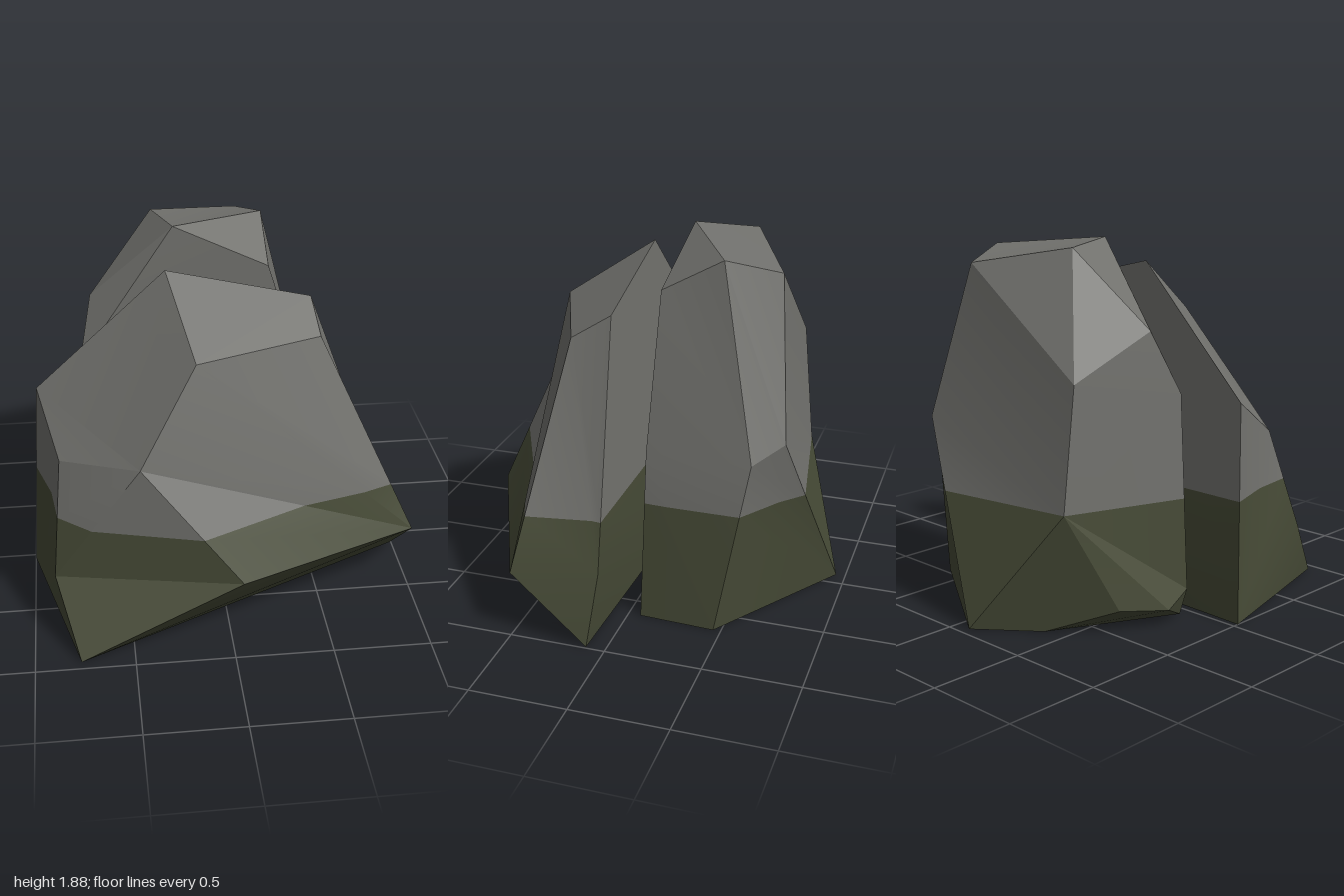
import * as THREE from 'three';
import { toCreasedNormals } from 'three/addons/utils/BufferGeometryUtils.js';

const MOSS_LINE = 0.62;
const CREASE = 0.35;

// Fan each facet (a string of corner letters) into triangles facing away from the middle
function facetTriangles(corners, facets) {
  const points = {};
  const middle = new THREE.Vector3();
  for (const key of Object.keys(corners)) {
    points[key] = new THREE.Vector3(...corners[key]);
    middle.add(points[key]);
  }
  middle.divideScalar(Object.keys(corners).length);
  const triangles = [];
  for (const facet of facets.split(' ')) {
    const [first, ...rest] = [...facet].map((key) => points[key]);
    for (let k = 0; k + 1 < rest.length; k++) {
      const tri = new THREE.Triangle(first, rest[k], rest[k + 1]);
      const outward = tri.getNormal(new THREE.Vector3()).dot(first.clone().sub(middle)) > 0;
      triangles.push(outward ? [tri.a, tri.b, tri.c] : [tri.a, tri.c, tri.b]);
    }
  }
  return triangles;
}

// Keep what lies above (sign 1) or below (sign -1) the moss line
function clipAtMossLine(triangles, sign) {
  const out = [];
  for (const tri of triangles) {
    const kept = [];
    tri.forEach((a, k) => {
      const b = tri[(k + 1) % 3];
      const da = (a.y - MOSS_LINE) * sign;
      const db = (b.y - MOSS_LINE) * sign;
      if (da >= 0) kept.push(a);
      if (da * db < 0) kept.push(a.clone().lerp(b, da / (da - db)));
    });
    for (let k = 1; k + 1 < kept.length; k++) {
      for (const p of [kept[0], kept[k], kept[k + 1]]) out.push(p.x, p.y, p.z);
    }
  }
  const geometry = new THREE.BufferGeometry();
  geometry.setAttribute('position', new THREE.Float32BufferAttribute(out, 3));
  return toCreasedNormals(geometry, CREASE);
}

// A faceted boulder: bare stone above the moss line, mossy stone below
function makeRock(name, corners, facets, stone, moss) {
  const triangles = facetTriangles(corners, facets);
  const rock = new THREE.Group();
  rock.name = name;
  const upper = new THREE.Mesh(clipAtMossLine(triangles, 1), stone);
  upper.name = name + 'Stone';
  const lower = new THREE.Mesh(clipAtMossLine(triangles, -1), moss);
  lower.name = name + 'MossyBase';
  rock.add(upper, lower);
  return rock;
}

export function createModel() {
  const stone = new THREE.MeshStandardMaterial({ color: 0x71716d });
  stone.name = 'grey stone';
  const moss = new THREE.MeshStandardMaterial({ color: 0x464a36 });
  moss.name = 'mossy green';

  const model = new THREE.Group();
  model.name = 'splitRock';

  // Front half: three-cornered foot, overhanging front, dented face, sloping crown
  model.add(makeRock('frontRock', {
    a: [-1, 0, 0.03], b: [-0.77, 0, 0.95], c: [0.99, 0, 0.1],
    d: [-0.88, 0.34, 0.68], e: [0.05, 0.39, 0.92], f: [1, 0.36, 0.49], g: [0.92, 0.38, 0.055],
    h: [-0.83, 0.89, 0.47], i: [-0.44, 0.98, 0.76], j: [-0.93, 1.11, 0.1],
    k: [-0.15, 1.45, 0.59], l: [0.5, 1.44, 0.33], m: [0.48, 1.57, 0.125], n: [-0.26, 1.75, 0.14],
  }, 'abc fcbe cfg acgmnj adb ajhd idhjnk dei dbe feikl lmgf klmn', stone, moss));

  // Back half: taller, with a flat split face towards the front
  model.add(makeRock('backRock', {
    K: [-0.09, 0, -0.95], J: [0.65, 0, -0.46], T: [0.63, 0, -0.065], U: [-0.7, 0, -0.065],
    Q: [-0.38, 0, -0.71], N: [-0.78, 0.09, -0.24], P: [-0.67, 0.12, -0.48], R: [-0.75, 0.15, -0.07],
    L: [-0.51, 0.62, -0.7], S: [0.54, 0.89, -0.07], I: [0.54, 0.89, -0.61], H: [0.41, 0.97, -0.75],
    M: [-0.7, 1.15, -0.08], G: [-0.52, 1.25, -0.64], F: [-0.63, 1.47, -0.23],
    E: [0.29, 1.66, -0.07], D: [0.18, 1.77, -0.66], C: [0.29, 1.84, -0.39],
    B: [-0.29, 1.86, -0.42], A: [-0.2, 1.885, -0.1],
  }, 'KJTUQ QPNU UNR UTSEMR AFME AEC ESIC STJI CIHD IJKH LKHDG ACDB BDG ABF BGF FGM GLM LMRNP LPQK',
  stone, moss));

  return model;
}
